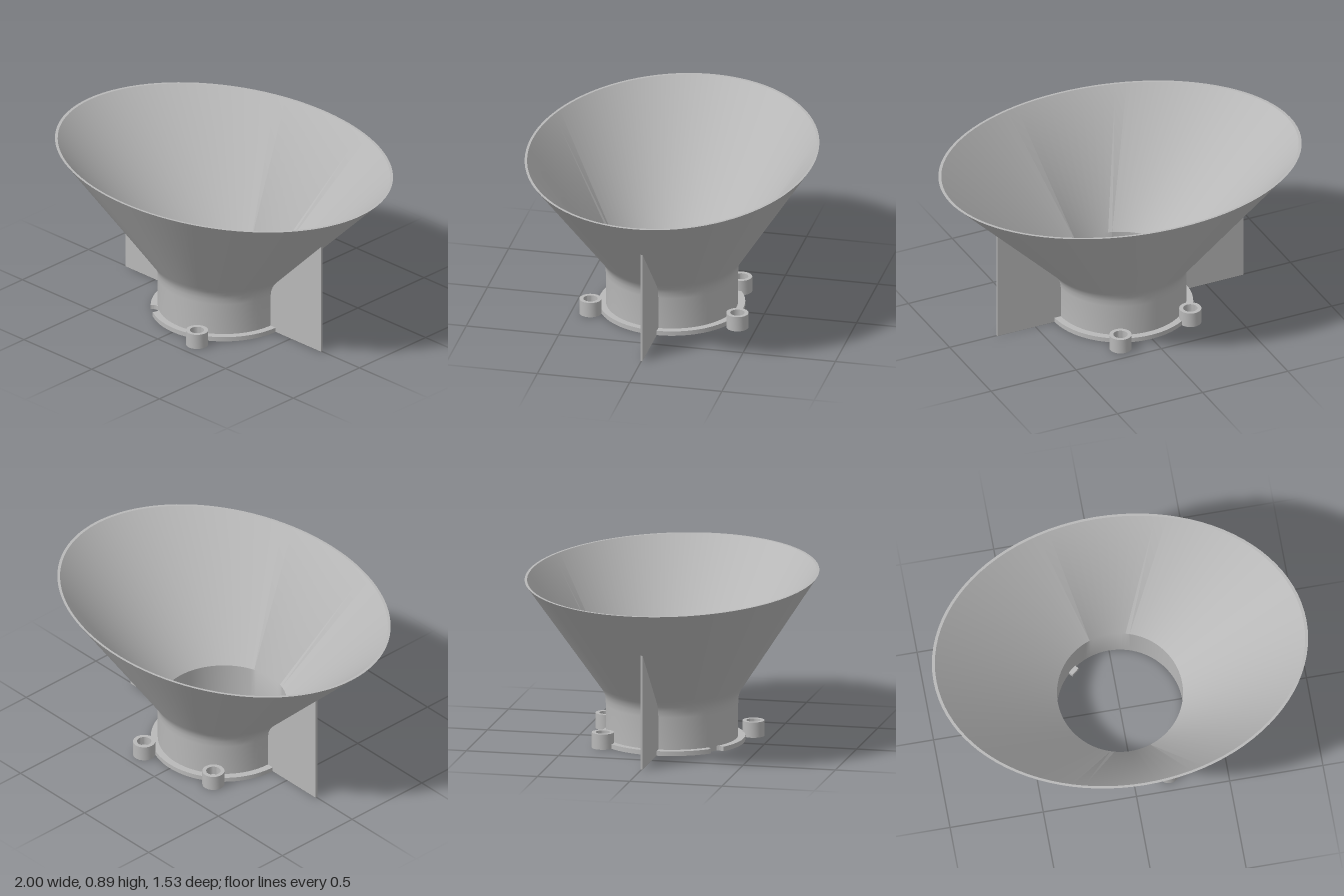
import * as THREE from 'three';
import { toCreasedNormals } from 'three/addons/utils/BufferGeometryUtils.js';

const grey = new THREE.MeshStandardMaterial({ color: 0xb8b8b8 });
grey.name = 'grey plastic';

function add(parent, name, geometry) {
  const mesh = new THREE.Mesh(geometry, grey);
  mesh.name = name;
  parent.add(mesh);
  return mesh;
}

// Closed wall through elliptical rings [rx, rz, y]; the last ring joins the first
function ringWall(rings, sides = 96) {
  const pos = [], idx = [], n = rings.length;
  for (const [rx, rz, y] of rings) {
    for (let j = 0; j < sides; j++) {
      const a = (j / sides) * Math.PI * 2;
      pos.push(rx * Math.cos(a), y, rz * Math.sin(a));
    }
  }
  for (let i = 0; i < n; i++) {
    const k = (i + 1) % n;
    for (let j = 0; j < sides; j++) {
      const m = (j + 1) % sides;
      const a = i * sides + j, b = i * sides + m, c = k * sides + m, d = k * sides + j;
      idx.push(a, d, b, b, d, c);
    }
  }
  const g = new THREE.BufferGeometry();
  g.setAttribute('position', new THREE.Float32BufferAttribute(pos, 3));
  g.setIndex(idx);
  return toCreasedNormals(g, 0.6);
}

// Flat ring with a small round bite out of its rim, at (bx, bz)
function flangeGeometry(R, hole, height, bx, bz, r) {
  const dist = Math.hypot(bx, bz), mid = Math.atan2(-bz, bx);
  const along = (dist * dist + R * R - r * r) / (2 * dist);
  const half = Math.acos(along / R);
  const biteHalf = Math.atan2(R * Math.sin(half), along - dist);
  const s = new THREE.Shape();
  s.absarc(0, 0, R, mid + half, mid - half + Math.PI * 2, false);
  s.absarc(bx, -bz, r, mid - biteHalf, mid + biteHalf, true);
  const h = new THREE.Path();
  h.absarc(0, 0, hole, 0, Math.PI * 2, true);
  s.holes.push(h);
  const g = new THREE.ExtrudeGeometry(s, { depth: height, bevelEnabled: false, curveSegments: 72 });
  g.rotateX(-Math.PI / 2);
  return toCreasedNormals(g, 0.6);
}

// Screw boss: narrow hole below, wide counterbore above
function bossGeometry() {
  const pts = [[0.026, 0], [0.059, 0], [0.059, 0.083], [0.038, 0.083], [0.038, 0.035], [0.026, 0.035], [0.026, 0]]
    .map(([x, y]) => new THREE.Vector2(x, y));
  return toCreasedNormals(new THREE.LatheGeometry(pts, 32), 0.6);
}

export function createModel() {
  const model = new THREE.Group();
  model.name = 'funnel';

  // Round neck flaring into an oval mouth, with a thin wall
  add(model, 'funnelBody', ringWall([
    [0.35, 0.35, 0], [0.35, 0.35, 0.2], [0.355, 0.351, 0.232], [0.366, 0.357, 0.258],
    [0.382, 0.367, 0.28], [0.402, 0.381, 0.301], [1, 0.765, 0.893],
    [0.984, 0.752, 0.893], [0.333, 0.333, 0.25], [0.333, 0.333, 0],
  ]));

  // Foot flange
  add(model, 'flange', flangeGeometry(0.387, 0.335, 0.025, -0.24, 0.3, 0.042));

  // Screw bosses with short webs to the flange
  for (const [x, z] of [[0.19, 0.398], [0.19, -0.398], [-0.26, -0.315]]) {
    const boss = new THREE.Group();
    boss.name = 'screwBoss';
    add(boss, 'boss', bossGeometry());
    const web = add(boss, 'web', new THREE.BoxGeometry(0.05, 0.025, 0.07));
    web.position.set(0, 0.0125, -0.065);
    boss.position.set(x, 0, z);
    boss.rotation.y = Math.atan2(x, z);
    model.add(boss);
  }

  // Thin side fins under the flare
  const fin = new THREE.Shape([
    [0.342, 0], [0.722, 0], [0.722, 0.618], [0.395, 0.301], [0.36, 0.258], [0.342, 0.2],
  ].map(([x, y]) => new THREE.Vector2(x, y)));
  const finGeometry = new THREE.ExtrudeGeometry(fin, { depth: 0.012, bevelEnabled: false });
  finGeometry.translate(0, 0, -0.006);
  add(model, 'leftFin', finGeometry);
  add(model, 'rightFin', finGeometry).rotation.y = Math.PI;

  return model;
}
